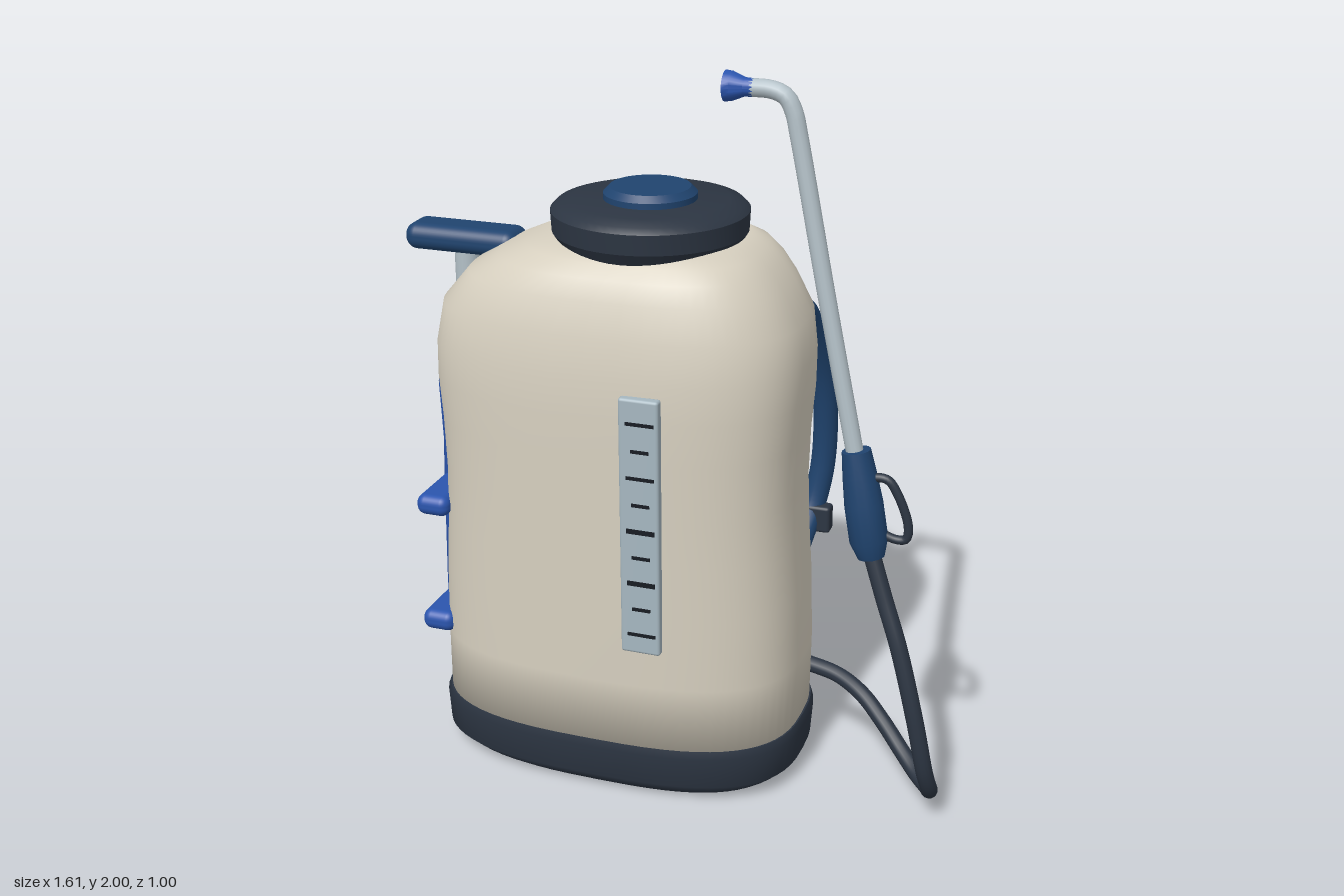
import * as THREE from 'three';
import { toCreasedNormals } from 'three/addons/utils/BufferGeometryUtils.js';
import { RoundedBoxGeometry } from 'three/addons/geometries/RoundedBoxGeometry.js';

const V = (x, y, z) => new THREE.Vector3(x, y, z);
const mat = (name, color, extra = {}) => new THREE.MeshStandardMaterial({ name, color, ...extra });

// Superellipse cross-sections [y, xMin, xMax, zMin, zMax] joined into a closed, smooth solid
function loft(rings, n = 2.8, seg = 64) {
  const pos = [], idx = [];
  const bend = (c) => Math.sign(c) * Math.pow(Math.abs(c), 2 / n);
  for (const [y, x0, x1, z0, z1] of rings) {
    for (let j = 0; j < seg; j++) {
      const t = (j / seg) * Math.PI * 2;
      pos.push((x0 + x1) / 2 + ((x1 - x0) / 2) * bend(Math.cos(t)), y,
        (z0 + z1) / 2 + ((z1 - z0) / 2) * bend(Math.sin(t)));
    }
  }
  for (let i = 0; i < rings.length - 1; i++) {
    for (let j = 0; j < seg; j++) {
      const a = i * seg + j, b = i * seg + (j + 1) % seg;
      idx.push(a, a + seg, b, b, a + seg, b + seg);
    }
  }
  // End faces
  const last = (rings.length - 1) * seg, c = rings.length * seg;
  for (const r of [rings[0], rings[rings.length - 1]]) pos.push((r[1] + r[2]) / 2, r[0], (r[3] + r[4]) / 2);
  for (let j = 0; j < seg; j++) {
    const k = (j + 1) % seg;
    idx.push(c, j, k, c + 1, last + k, last + j);
  }
  const g = new THREE.BufferGeometry();
  g.setAttribute('position', new THREE.Float32BufferAttribute(pos, 3));
  g.setIndex(idx);
  g.computeVertexNormals();
  return g;
}

const tube = (pts, r, seg = 64, sides = 14) =>
  new THREE.TubeGeometry(new THREE.CatmullRomCurve3(pts.map((p) => V(...p)), false, 'centripetal'), seg, r, sides);

const lathe = (profile, seg = 40) =>
  toCreasedNormals(new THREE.LatheGeometry(profile.map((p) => new THREE.Vector2(...p)), seg), 0.5);

export function createModel() {
  const cream = mat('cream plastic', 0xd6cfbf);
  const dark = mat('dark rubber', 0x2c3542, { side: THREE.DoubleSide });
  const navy = mat('navy plastic', 0x20446f, { side: THREE.DoubleSide });
  const blue = mat('bright blue plastic', 0x2b55ae);
  const steel = mat('pale metal', 0xb3c0c7, { side: THREE.DoubleSide });
  const gaugeGrey = mat('gauge grey', 0xa6b7c0);
  const black = mat('mark black', 0x171b22);

  const model = new THREE.Group();
  const add = (name, geo, material, p = [0, 0, 0], parent = model) => {
    const m = new THREE.Mesh(geo, material);
    m.name = name;
    m.position.set(...p);
    parent.add(m);
    return m;
  };

  // Tank and foot
  add('tank', loft([
    [0.13, -0.665, 0.375, -0.16, 0.488],
    [0.35, -0.665, 0.378, -0.165, 0.488],
    [0.55, -0.66, 0.372, -0.165, 0.487],
    [0.7, -0.65, 0.362, -0.163, 0.486],
    [0.85, -0.645, 0.357, -0.16, 0.485],
    [1.0, -0.65, 0.362, -0.16, 0.484],
    [1.12, -0.66, 0.372, -0.163, 0.483],
    [1.22, -0.66, 0.373, -0.165, 0.478],
    [1.33, -0.64, 0.36, -0.16, 0.463],
    [1.42, -0.565, 0.312, -0.142, 0.437],
    [1.47, -0.48, 0.275, -0.128, 0.415],
    [1.505, -0.4, 0.235, -0.11, 0.39],
    [1.53, -0.32, 0.18, -0.07, 0.34],
  ]), cream);
  add('foot', loft([
    [0, -0.6, 0.325, -0.105, 0.44],
    [0, -0.6, 0.325, -0.105, 0.44],
    [0.02, -0.635, 0.35, -0.13, 0.465],
    [0.05, -0.672, 0.382, -0.155, 0.49],
    [0.14, -0.678, 0.388, -0.165, 0.494],
    [0.162, -0.67, 0.38, -0.163, 0.49],
    [0.162, -0.67, 0.38, -0.163, 0.49],
  ]), dark);

  // Filler lid
  add('lid', lathe([[0, 1.485], [0.2, 1.485], [0.24, 1.505], [0.262, 1.54], [0.265, 1.595],
    [0.25, 1.61], [0.21, 1.622], [0, 1.622]], 56), dark, [-0.075, 0, 0.145]);
  add('lidButton', lathe([[0.125, 1.61], [0.125, 1.638], [0.108, 1.655], [0, 1.655]], 48), navy, [-0.075, 0, 0.145]);

  // Level gauge with marks
  add('gauge', new RoundedBoxGeometry(0.11, 0.73, 0.03, 2, 0.008), gaugeGrey, [0.015, 0.825, 0.483]);
  for (let i = 0; i < 9; i++) {
    const bold = i === 4 || i === 6;
    add('gaugeMark', new THREE.BoxGeometry(i % 2 ? 0.05 : 0.078, bold ? 0.013 : 0.009, 0.004), black,
      [0.02, 1.123 - i * 0.0757, 0.499]);
  }

  // Side pump: barrel, rod, handle and clips
  add('pumpBarrel', lathe([[0, 0.16], [0.1, 0.16], [0.1, 0.4], [0.094, 0.7], [0.09, 0.85],
    [0.096, 1.02], [0.085, 1.09], [0.06, 1.15], [0, 1.15]], 32), blue, [-0.64, 0, 0.1]);
  add('pumpRod', new THREE.CylinderGeometry(0.037, 0.037, 0.32, 24), steel, [-0.635, 1.27, 0.1]);
  add('pumpHandle', new RoundedBoxGeometry(0.335, 0.075, 0.125, 5, 0.034), navy, [-0.637, 1.447, 0.1]);
  for (const y of [0.742, 0.382])
    add('hoseClip', new RoundedBoxGeometry(0.098, 0.06, 0.2, 4, 0.026), blue, [-0.647, y, 0.287]);

  // Shoulder straps, mirrored about the tank centre
  for (const s of [-1, 1]) {
    const X = (x) => -0.145 + s * (x + 0.145);
    const strap = new THREE.Group();
    strap.name = s > 0 ? 'leftStrap' : 'rightStrap';
    model.add(strap);
    add('strapBand', tube([[0.225, 1.22, -0.1], [0.227, 1.23, -0.19], [0.232, 1.215, -0.265], [0.242, 1.14, -0.335],
      [0.255, 0.99, -0.41], [0.26, 0.82, -0.45], [0.252, 0.65, -0.46], [0.23, 0.52, -0.44], [0.212, 0.44, -0.385],
      [0.203, 0.36, -0.29], [0.2, 0.262, -0.15]].map(([x, y, z]) => [X(x), y, z]), 0.037, 72, 16), navy, [0, 0, 0], strap);
    add('strapBuckle', new RoundedBoxGeometry(0.085, 0.085, 0.05, 2, 0.01), dark, [X(0.25), 0.492, -0.427], strap);
  }

  // Spray lance
  const lance = new THREE.Group();
  lance.name = 'lance';
  model.add(lance);
  add('lanceTube', tube([[0.23, 1.962, 0.275], [0.295, 1.96, 0.275], [0.33, 1.945, 0.276], [0.35, 1.91, 0.277],
    [0.365, 1.85, 0.279], [0.45, 1.455, 0.297], [0.545, 1.03, 0.317]], 0.023, 64), steel, [0, 0, 0], lance);
  const nozzle = add('nozzle', lathe([[0, -0.042], [0.022, -0.042], [0.024, -0.01], [0.037, 0.022], [0.039, 0.04],
    [0.03, 0.042], [0, 0.036]], 24), blue, [0.213, 1.962, 0.275], lance);
  nozzle.rotation.z = Math.PI / 2;
  const gripTop = V(0.545, 1.055, 0.318), gripEnd = V(0.597, 0.765, 0.328);
  const grip = add('grip', lathe([[0, -0.147], [0.036, -0.147], [0.051, -0.1], [0.051, 0], [0.045, 0.08],
    [0.038, 0.147], [0, 0.147]], 16), navy, gripTop.clone().lerp(gripEnd, 0.5).toArray(), lance);
  grip.quaternion.setFromUnitVectors(V(0, 1, 0), gripTop.clone().sub(gripEnd).normalize());
  add('trigger', tube([[0.58, 0.985, 0.32], [0.63, 0.985, 0.32], [0.66, 0.945, 0.32], [0.69, 0.86, 0.32],
    [0.685, 0.825, 0.32], [0.66, 0.82, 0.32], [0.59, 0.845, 0.322]], 0.012, 40, 10), dark, [0, 0, 0], lance);

  // Hose from the grip to the tank
  add('hose', tube([[0.592, 0.79, 0.326], [0.64, 0.66, 0.348], [0.69, 0.53, 0.37], [0.745, 0.33, 0.385],
    [0.775, 0.17, 0.372], [0.782, 0.095, 0.33], [0.765, 0.066, 0.275], [0.725, 0.068, 0.225], [0.67, 0.1, 0.175],
    [0.6, 0.16, 0.13], [0.53, 0.21, 0.09], [0.45, 0.238, 0.055], [0.35, 0.25, 0.035]], 0.023, 120), dark);

  return model;
}
